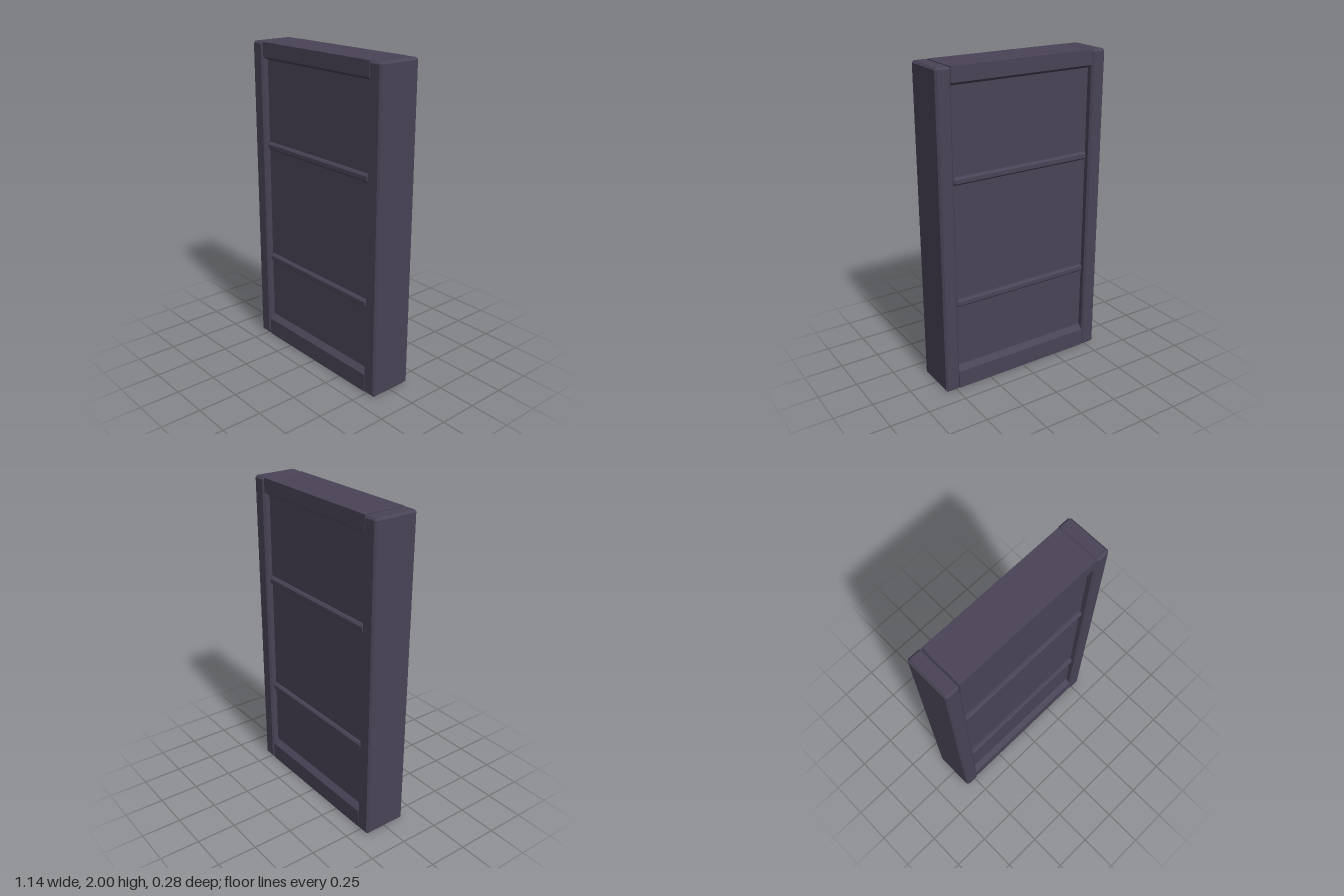
import * as THREE from 'three';
import { ConvexGeometry } from 'three/addons/geometries/ConvexGeometry.js';

const material = new THREE.MeshStandardMaterial({ color: 0x494356, flatShading: true });

// Box with every edge chamfered by b
function chamferBox(w, h, d, b) {
  const half = [w / 2, h / 2, d / 2];
  const points = [];
  for (const sx of [-1, 1]) for (const sy of [-1, 1]) for (const sz of [-1, 1]) {
    for (let axis = 0; axis < 3; axis++) {
      const p = half.map((v, i) => (i === axis ? v : v - b));
      points.push(new THREE.Vector3(sx * p[0], sy * p[1], sz * p[2]));
    }
  }
  return new ConvexGeometry(points);
}

export function createModel() {
  const group = new THREE.Group();
  const add = (name, geometry, x, y, z) => {
    const mesh = new THREE.Mesh(geometry, material);
    mesh.name = name;
    mesh.position.set(x, y, z);
    group.add(mesh);
  };

  // Recessed panel with thick top and bottom beams, one profile swept across x
  const beamZ = 0.135, panelZ = 0.1, width = 0.95;
  const side = [[beamZ, 0], [beamZ, 0.115], [panelZ, 0.145], [panelZ, 1.89], [beamZ, 1.91], [beamZ, 2]];
  const outline = [...side, ...side.map(([z, y]) => [-z, y]).reverse()];
  const profile = new THREE.Shape(outline.map(([z, y]) => new THREE.Vector2(z, y)));
  const body = new THREE.ExtrudeGeometry(profile, { depth: width, bevelEnabled: false });
  body.translate(0, 0, -width / 2).rotateY(Math.PI / 2);
  add('panelWithBeams', body, 0, 0, 0);

  // Side posts
  const post = chamferBox(0.095, 2, 0.284, 0.012);
  add('leftPost', post, 0.5225, 1, 0);
  add('rightPost', post, -0.5225, 1, 0);

  // Cross slats, standing out on both faces
  const slat = chamferBox(0.94, 0.047, 0.25, 0.011);
  add('lowerSlat', slat, 0, 0.577, 0);
  add('upperSlat', slat, 0, 1.347, 0);

  return group;
}
